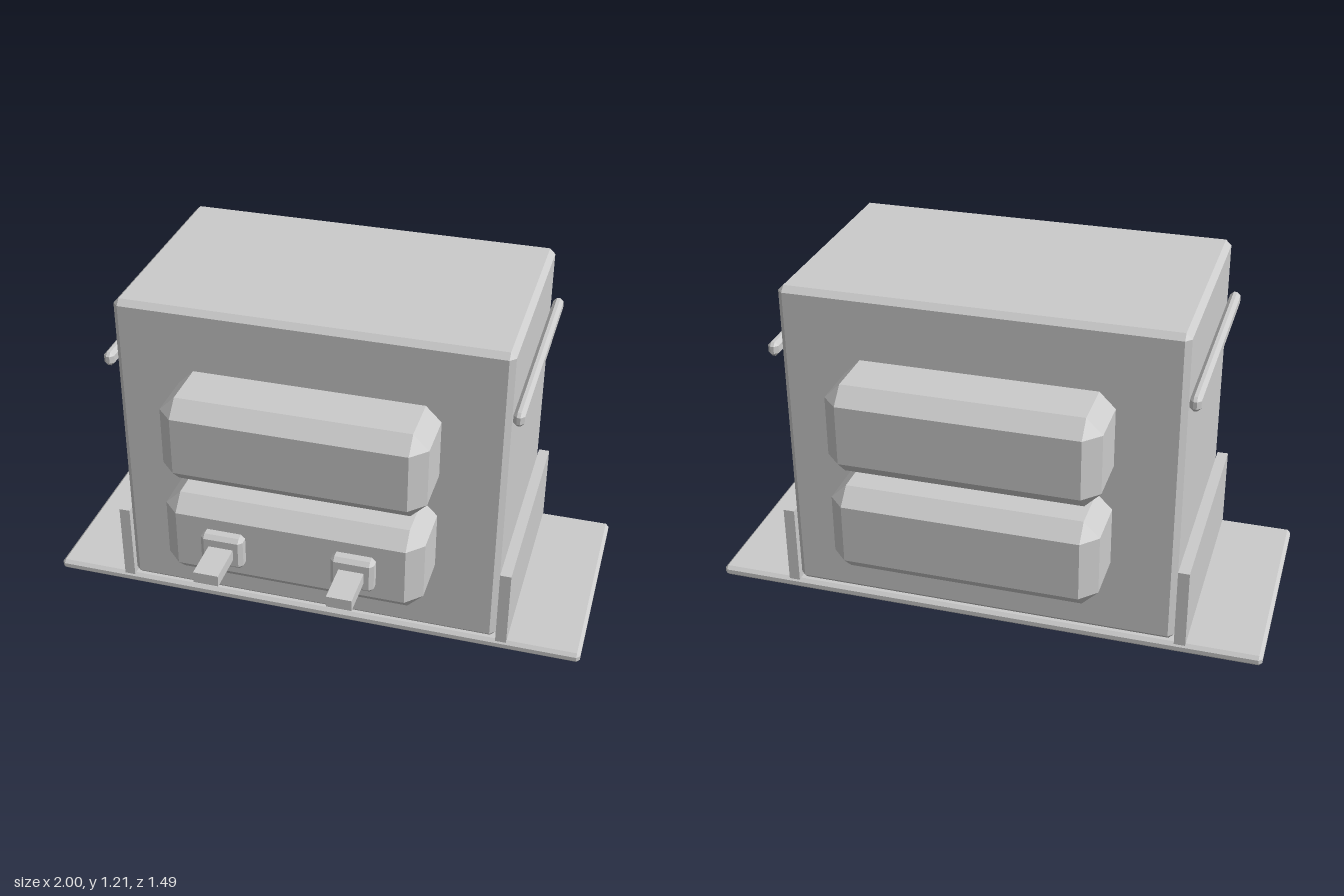
import * as THREE from 'three';
import { ConvexGeometry } from 'three/addons/geometries/ConvexGeometry.js';

const material = new THREE.MeshStandardMaterial({ color: 0xcccccc, flatShading: true });

// Box between two limits on each axis, with every edge cut at 45 degrees by c
function block(name, [x0, x1], [y0, y1], [z0, z1], c = 0) {
  const w = (x1 - x0) / 2, h = (y1 - y0) / 2, d = (z1 - z0) / 2;
  let geometry;
  if (c > 0) {
    const points = [];
    for (const sx of [-1, 1]) for (const sy of [-1, 1]) for (const sz of [-1, 1]) {
      points.push(
        new THREE.Vector3(sx * w, sy * (h - c), sz * (d - c)),
        new THREE.Vector3(sx * (w - c), sy * h, sz * (d - c)),
        new THREE.Vector3(sx * (w - c), sy * (h - c), sz * d));
    }
    geometry = new ConvexGeometry(points);
  } else {
    geometry = new THREE.BoxGeometry(2 * w, 2 * h, 2 * d);
  }
  const mesh = new THREE.Mesh(geometry, material);
  mesh.name = name;
  mesh.position.set((x0 + x1) / 2, (y0 + y1) / 2, (z0 + z1) / 2);
  return mesh;
}

// Limits mirrored to the given side of x = 0
const side = (s, a, b) => (s > 0 ? [a, b] : [-b, -a]);

export function createModel() {
  const model = new THREE.Group();
  model.name = 'transformer';
  const depth = [-0.512, 0.32];

  // Mounting plate and laminated core
  model.add(block('basePlate', [-1, 1], [0, 0.04], depth, 0.012));
  model.add(block('core', [-0.692, 0.692], [0.045, 1.212], depth, 0.02));

  // Two windings passing through the core
  model.add(block('lowerCoil', [-0.463, 0.463], [0.278, 0.6], [-0.746, 0.555], 0.055));
  model.add(block('upperCoil', [-0.463, 0.463], [0.658, 0.98], [-0.746, 0.555], 0.055));

  for (const s of [-1, 1]) {
    const label = s > 0 ? 'left' : 'right';
    // Upright flange of the foot bracket
    model.add(block(label + 'Flange', side(s, 0.695, 0.735), [0.038, 0.335], depth));
    // Clamp rod running along the side
    model.add(block(label + 'ClampRod', side(s, 0.698, 0.736), [0.955, 1.007], [-0.526, 0.334], 0.013));
    // Terminal socket and its contact blade
    model.add(block(label + 'Terminal', side(s, 0.156, 0.308), [0.378, 0.502], [0.5, 0.596], 0.014));
    model.add(block(label + 'ContactBlade', side(s, 0.188, 0.276), [0.419, 0.46], [0.55, 0.746]));
  }
  return model;
}
